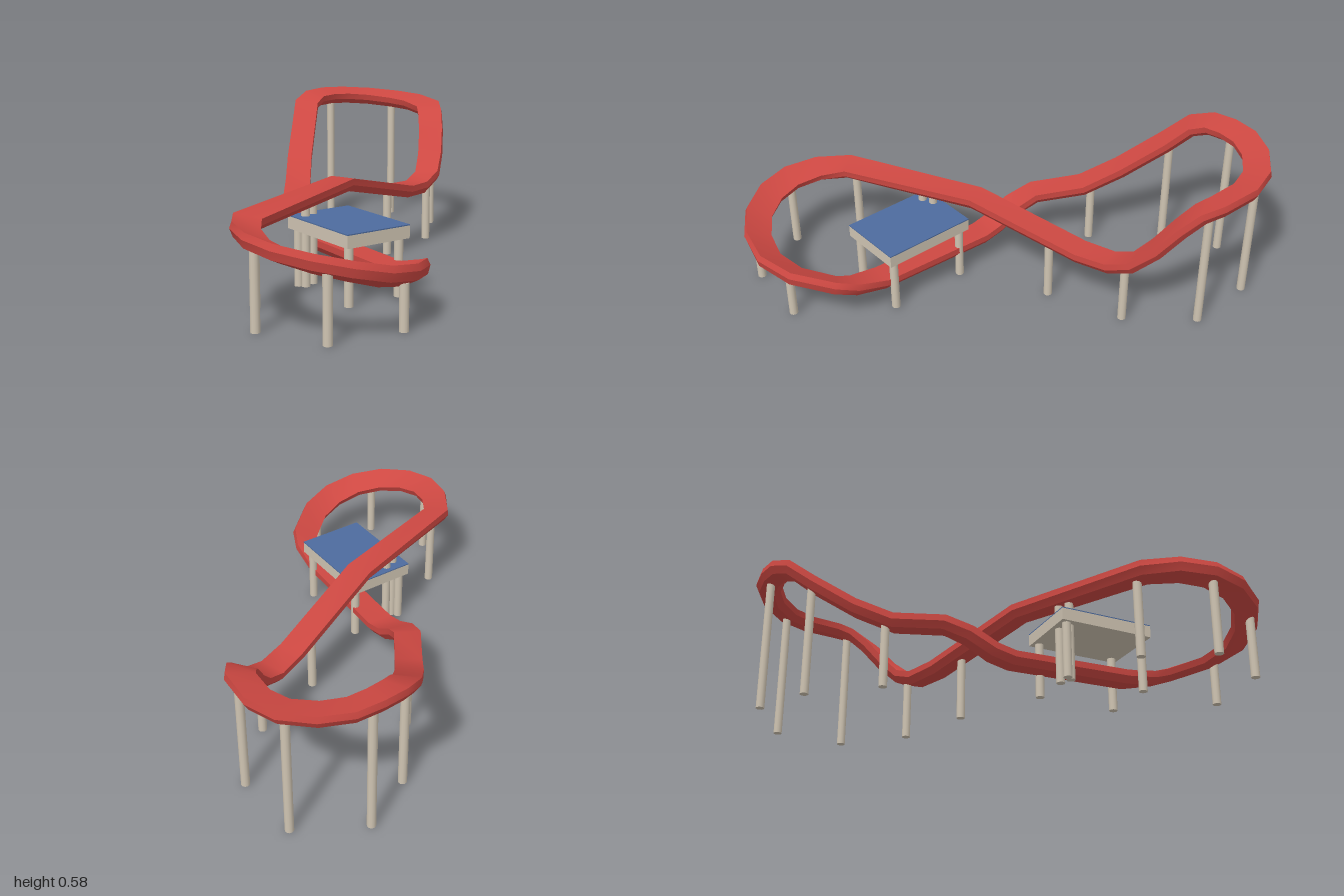
import * as THREE from 'three';

const mat = (name, color, extra = {}) => {
  const m = new THREE.MeshStandardMaterial({ color, ...extra });
  m.name = name;
  return m;
};

// Centre line of the closed figure-eight: x, y, z, bank in degrees (+ raises the left side)
const PATH = [
  [-0.12, 0.11, 0.075, 0], [0.13, 0.11, 0.475, 0], [0.195, 0.135, 0.58, 14],
  [0.21, 0.155, 0.65, 24], [0.17, 0.18, 0.80, 26], [0.09, 0.205, 0.90, 26],
  [-0.015, 0.235, 0.945, 26], [-0.13, 0.26, 0.945, 26], [-0.24, 0.28, 0.90, 24],
  [-0.32, 0.295, 0.82, 22], [-0.36, 0.305, 0.71, 18], [-0.36, 0.308, 0.59, 8],
  [-0.035, 0.342, 0.10, 0], [0.21, 0.238, -0.27, 0], [0.28, 0.232, -0.375, -4],
  [0.33, 0.265, -0.45, -8], [0.347, 0.335, -0.53, -10], [0.355, 0.425, -0.61, -12],
  [0.355, 0.485, -0.68, -12], [0.35, 0.51, -0.745, -12], [0.285, 0.523, -0.86, -12],
  [0.20, 0.53, -0.925, -12], [0.085, 0.54, -0.95, -12], [-0.02, 0.547, -0.935, -12],
  [-0.095, 0.55, -0.89, -12], [-0.155, 0.545, -0.835, -10], [-0.19, 0.52, -0.77, -6],
  [-0.20, 0.445, -0.675, -2], [-0.215, 0.325, -0.50, 0], [-0.218, 0.25, -0.35, 0],
  [-0.22, 0.225, -0.155, 0], [-0.20, 0.185, -0.07, 0], [-0.16, 0.13, 0.01, 0],
];

// Cross-section: flat deck, short sides, chamfered underside (counter-clockwise)
const PROFILE = [[0.05, 0.025], [-0.05, 0.025], [-0.05, 0], [-0.03, -0.025], [0.03, -0.025], [0.05, 0]];

// Sweeps the profile along the path with mitred joints; crisp between strips, smooth along them
function trackGeometry() {
  const n = PATH.length;
  const points = PATH.map(([x, y, z]) => new THREE.Vector3(x, y, z));
  const rings = points.map((p, k) => {
    const before = p.clone().sub(points[(k + n - 1) % n]).normalize();
    const after = points[(k + 1) % n].clone().sub(p).normalize();
    const t = before.clone().add(after).normalize();
    const right = new THREE.Vector3().crossVectors(t, new THREE.Vector3(0, 1, 0)).normalize();
    const up = new THREE.Vector3().crossVectors(right, t);
    const bank = THREE.MathUtils.degToRad(PATH[k][3]);
    right.applyAxisAngle(t, bank);
    up.applyAxisAngle(t, bank);
    const miter = 1 / Math.max(0.85, t.dot(before));
    return PROFILE.map(([a, b]) => p.clone().addScaledVector(right, a * miter).addScaledVector(up, b));
  });
  const pos = [], index = [];
  PROFILE.forEach((_, i) => {
    const base = pos.length / 3;
    rings.forEach((ring, k) => {
      pos.push(...ring[i].toArray(), ...ring[(i + 1) % PROFILE.length].toArray());
      const a = base + 2 * k, d = base + 2 * ((k + 1) % n);
      index.push(a, d, d + 1, a, d + 1, a + 1);
    });
  });
  const g = new THREE.BufferGeometry();
  g.setAttribute('position', new THREE.Float32BufferAttribute(pos, 3));
  g.setIndex(index);
  g.computeVertexNormals();
  return g;
}

export function createModel() {
  const red = mat('track red', 0xcd4842);
  const stone = mat('support beige', 0xcfc4b2);
  const blue = mat('roof blue', 0x4d6b9e);
  const model = new THREE.Group();
  model.name = 'rollerCoaster';

  const add = (parent, name, geometry, material, x = 0, y = 0, z = 0) => {
    const mesh = new THREE.Mesh(geometry, material);
    mesh.name = name;
    mesh.position.set(x, y, z);
    parent.add(mesh);
    return mesh;
  };
  const post = (parent, name, x, z, h) =>
    add(parent, name, new THREE.CylinderGeometry(0.0165, 0.0165, h, 12), stone, x, h / 2, z);

  add(model, 'track', trackGeometry(), red);

  // Track supports: x, z, height
  const supports = new THREE.Group();
  supports.name = 'trackSupports';
  model.add(supports);
  [
    [0.16, 0.82, 0.165], [-0.085, 0.955, 0.24], [-0.32, 0.825, 0.28], [-0.337, 0.56, 0.295],
    [-0.17, 0.30, 0.315], [-0.145, 0.26, 0.318], [0.145, -0.165, 0.25], [0.32, -0.425, 0.235],
    [0.36, -0.71, 0.48], [0.193, -0.925, 0.515], [-0.085, -0.90, 0.535], [-0.195, -0.69, 0.44],
    [-0.217, -0.385, 0.25],
  ].forEach(([x, z, h]) => post(supports, 'trackSupport', x, z, h));

  // Station: canopy slab with a coloured roof sheet on four legs
  const station = new THREE.Group();
  station.name = 'station';
  station.position.set(-0.0175, 0, 0.36);
  station.rotation.y = Math.atan2(0.153, 0.22);
  model.add(station);
  add(station, 'canopySlab', new THREE.BoxGeometry(0.268, 0.046, 0.375), stone, 0, 0.238, 0);
  add(station, 'roofSheet', new THREE.BoxGeometry(0.268, 0.004, 0.375), blue, 0, 0.263, 0);
  for (const sx of [-1, 1])
    for (const sz of [-1, 1]) post(station, 'stationLeg', sx * 0.108, sz * 0.158, 0.225);

  return model;
}
